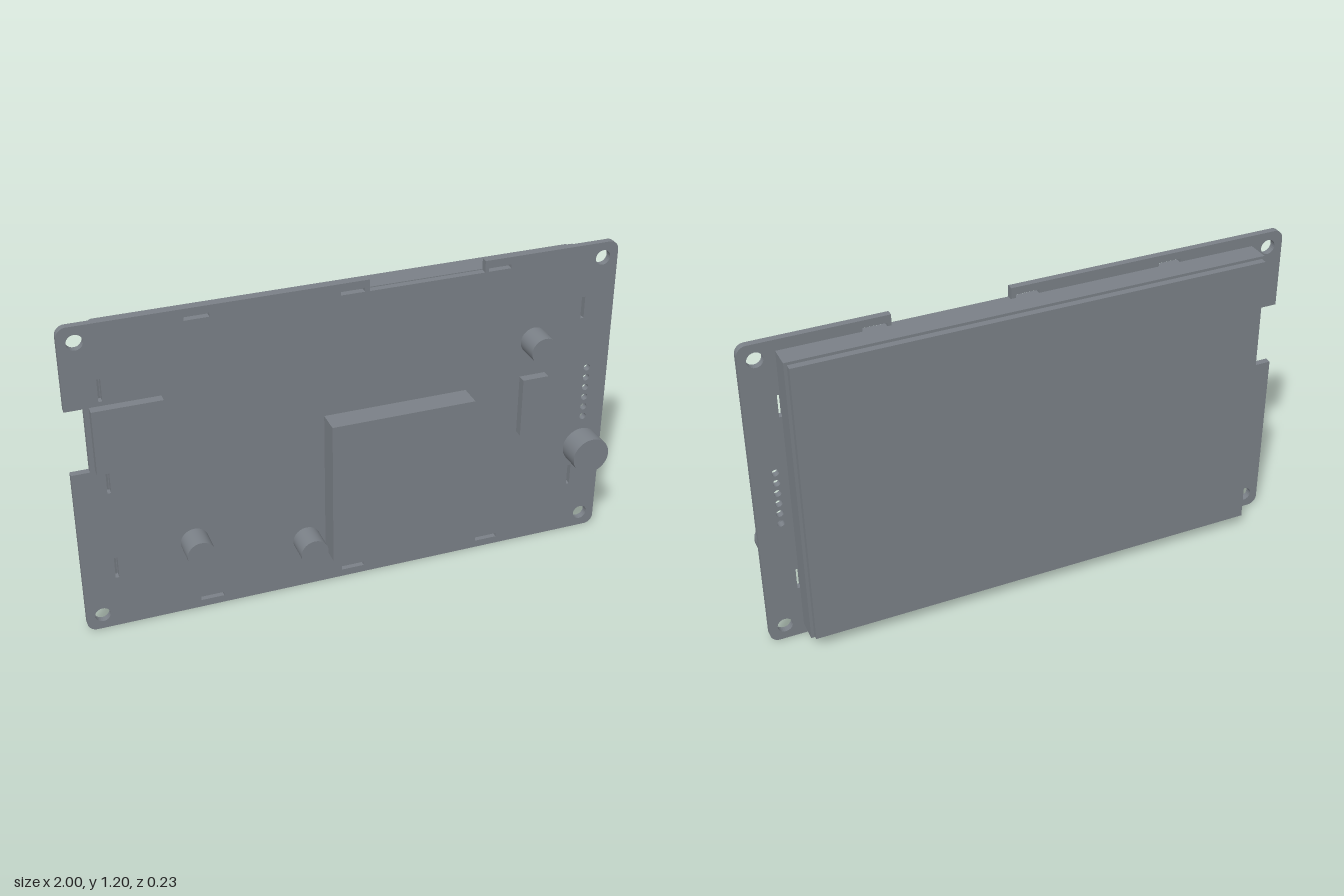
import * as THREE from 'three';

const material = new THREE.MeshStandardMaterial({ color: 0x7a8087 });
const FACE = 0.021; // component side of the board
const BACK = -0.004; // display side of the board

function circleHole(x, y, r) {
  const p = new THREE.Path();
  p.absarc(x, y, r, 0, Math.PI * 2, true);
  return p;
}

function slotHole(x, y, w, h) {
  return new THREE.Path([
    new THREE.Vector2(x - w / 2, y - h / 2),
    new THREE.Vector2(x - w / 2, y + h / 2),
    new THREE.Vector2(x + w / 2, y + h / 2),
    new THREE.Vector2(x + w / 2, y - h / 2),
  ]);
}

export function createModel() {
  const group = new THREE.Group();

  const add = (name, geometry, x = 0, y = 0, z = 0) => {
    const mesh = new THREE.Mesh(geometry, material);
    mesh.name = name;
    mesh.position.set(x, y, z);
    group.add(mesh);
  };

  // Box given by its limits on each axis
  const block = (name, x0, x1, y0, y1, z0, z1) =>
    add(name, new THREE.BoxGeometry(x1 - x0, y1 - y0, z1 - z0),
      (x0 + x1) / 2, (y0 + y1) / 2, (z0 + z1) / 2);

  // Round part standing on the board
  const post = (name, x, y, r, top) => {
    const h = top - FACE;
    const g = new THREE.CylinderGeometry(r, r, h, 40).rotateX(Math.PI / 2);
    add(name, g, x, y, FACE + h / 2);
  };

  // Circuit board: rounded corners, notches in the top and one side
  const r = 0.035;
  const board = new THREE.Shape();
  board.moveTo(-1 + r, 0);
  board.lineTo(1 - r, 0);
  board.absarc(1 - r, r, r, -Math.PI / 2, 0, false);
  board.lineTo(1, 1.2 - r);
  board.absarc(1 - r, 1.2 - r, r, 0, Math.PI / 2, false);
  board.lineTo(0.485, 1.2);
  board.lineTo(0.485, 1.157);
  board.lineTo(0.061, 1.157);
  board.lineTo(0.061, 1.2);
  board.lineTo(-1 + r, 1.2);
  board.absarc(-1 + r, 1.2 - r, r, Math.PI / 2, Math.PI, false);
  board.lineTo(-1, 0.897);
  board.lineTo(-0.935, 0.897);
  board.lineTo(-0.935, 0.653);
  board.lineTo(-1, 0.653);
  board.lineTo(-1, r);
  board.absarc(-1 + r, r, r, Math.PI, Math.PI * 1.5, false);

  // Mounting holes
  for (const x of [-0.942, 0.942])
    for (const y of [0.058, 1.142]) board.holes.push(circleHole(x, y, 0.028));

  // Tab slots around the display
  for (const x of [-0.541, 0, 0.541])
    for (const y of [0.036, 1.165]) board.holes.push(slotHole(x, y, 0.086, 0.015));
  for (const y of [0.247, 0.599, 0.956]) board.holes.push(slotHole(-0.878, y, 0.013, 0.084));
  for (const y of [0.247, 0.956]) board.holes.push(slotHole(0.878, y, 0.013, 0.084));

  // Pin header holes
  for (let i = 0; i < 6; i++) board.holes.push(circleHole(0.917, 0.497 + i * 0.0415, 0.013));

  add('circuitBoard', new THREE.ExtrudeGeometry(board, {
    depth: FACE - BACK, bevelEnabled: false, curveSegments: 12,
  }), 0, 0, BACK);

  // Display on the rear: frame and slightly smaller panel
  block('displayFrame', -0.874, 0.875, 0.04, 1.16, -0.088, BACK);
  block('displayPanel', -0.864, 0.864, 0.051, 1.15, -0.113, -0.088);

  // Components on the front
  block('cardSocket', -0.918, -0.675, 0.656, 0.898, FACE, 0.054);
  block('processorModule', -0.107, 0.43, 0.143, 0.704, FACE, 0.108);
  block('smallChip', 0.643, 0.742, 0.487, 0.718, FACE, 0.054);
  post('upperCapacitor', 0.69, 0.858, 0.051, 0.115);
  post('lowerLeftCapacitor', -0.594, 0.293, 0.051, 0.115);
  post('lowerMiddleCapacitor', -0.179, 0.2, 0.051, 0.115);
  post('buzzer', 0.917, 0.372, 0.072, 0.111);

  return group;
}
